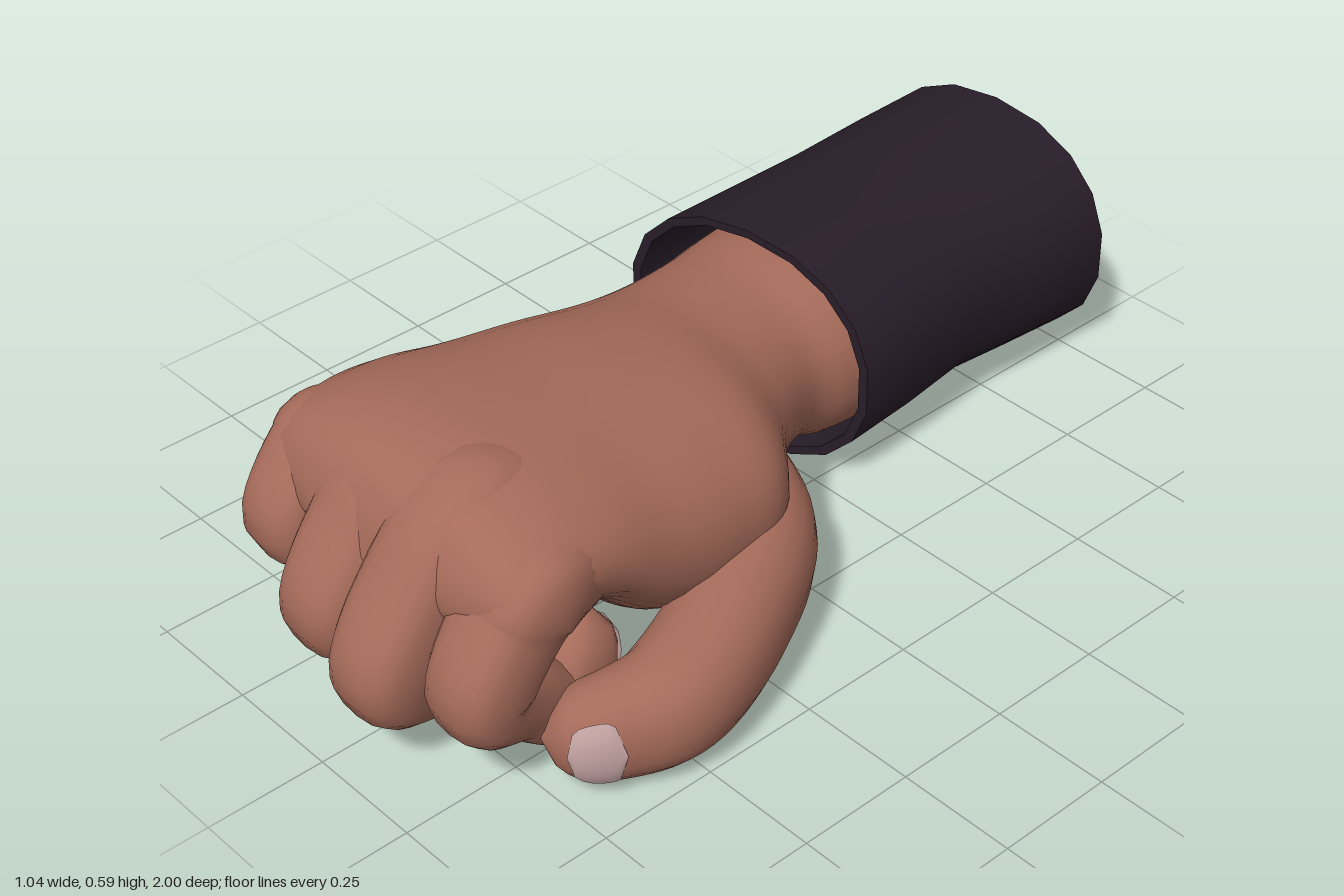
import * as THREE from 'three';

const skin = new THREE.MeshStandardMaterial({ color: 0xa66b5a });
skin.name = 'skin';
const nailColor = new THREE.MeshStandardMaterial({ color: 0xc5a5a4, side: THREE.DoubleSide });
nailColor.name = 'nail';
const cloth = new THREE.MeshStandardMaterial({ color: 0x281d29, side: THREE.DoubleSide });
cloth.name = 'dark cloth';

const V = (p) => new THREE.Vector3(...p);
// Superellipse coordinate: power 2 is round, higher is squarer
const round = (c, power) => Math.sign(c) * Math.abs(c) ** (2 / power);

// Surface from rows x cols points; closed joins the last column to the first
function grid(rows, cols, closed, point) {
  const pos = [], index = [];
  for (let i = 0; i < rows; i++)
    for (let j = 0; j < cols; j++) pos.push(...point(i, j).toArray());
  const span = closed ? cols : cols - 1;
  for (let i = 0; i < rows - 1; i++)
    for (let j = 0; j < span; j++) {
      const a = i * cols + j, b = i * cols + (j + 1) % cols;
      index.push(a, b, a + cols, b, b + cols, a + cols);
    }
  const g = new THREE.BufferGeometry();
  g.setAttribute('position', new THREE.Float32BufferAttribute(pos, 3));
  g.setIndex(index);
  g.computeVertexNormals();
  return g;
}

// Rounded-square limb along stations [x, y, z, sideRadius, outerRadius], with a domed end.
// Sections follow the path, or stay square to a fixed axis if one is given.
function limb(stations, side, power, capStart, axis) {
  const path = new THREE.CatmullRomCurve3(stations.map((s) => V(s.slice(0, 3))), false, 'catmullrom');
  const size = new THREE.CatmullRomCurve3(stations.map((s) => V([s[3], s[4], 0])), false, 'catmullrom');
  return (t, angle, lift = 0) => {
    const T = axis ?? path.getTangent(t), r = size.getPoint(t);
    const out = T.clone().cross(side).normalize(), across = out.clone().cross(T);
    const u = Math.max(0, (t - capStart) / (1 - capStart));
    const k = Math.sqrt(Math.max(0, 1 - u * u));
    return path.getPoint(t)
      .addScaledVector(across, (r.x * k + lift) * round(Math.cos(angle), power))
      .addScaledVector(out, (r.y * k + lift) * round(Math.sin(angle), power));
  };
}

function mesh(name, geometry, material) {
  const m = new THREE.Mesh(geometry, material);
  m.name = name;
  return m;
}

const body = (name, surf, rows, cols) => mesh(name,
  grid(rows + 1, cols, true, (i, j) => surf(i / rows, (j / cols) * Math.PI * 2)), skin);

// Oval nail following the outer face of a limb
const nail = (name, surf, t0, t1, width) => mesh(name, grid(9, 9, false, (i, j) => {
  const v = i / 4 - 1, w = width * Math.sqrt(Math.max(0, 1 - v ** 4));
  return surf(t0 + (t1 - t0) * i / 8, Math.PI / 2 + w * (j / 4 - 1), 0.005);
}), nailColor);

export function createModel() {
  const model = new THREE.Group();
  model.name = 'fistWithSleeve';
  const X = new THREE.Vector3(1, 0, 0), Z = new THREE.Vector3(0, 0, 1);

  // Wrist and back of the hand: [z, xMin, xMax, yMin, yMax]
  const palm = [
    [-0.42, -0.45, 0.07, 0.05, 0.475], [-0.28, -0.435, 0.07, 0.06, 0.465],
    [-0.17, -0.41, 0.07, 0.095, 0.46], [-0.02, -0.39, 0.155, 0.125, 0.475],
    [0.12, -0.395, 0.3, 0.085, 0.515], [0.27, -0.415, 0.335, 0.07, 0.545],
    [0.42, -0.42, 0.345, 0.12, 0.565], [0.56, -0.41, 0.355, 0.25, 0.583],
    [0.69, -0.39, 0.36, 0.32, 0.588], [0.79, -0.365, 0.35, 0.34, 0.56],
    [0.87, -0.3, 0.29, 0.34, 0.47],
  ].map(([z, x0, x1, y0, y1]) =>
    [(x0 + x1) / 2, (y0 + y1) / 2, z, (x1 - x0) / 2, (y1 - y0) / 2]);
  model.add(body('palmAndWrist', limb(palm, X, 2.15, 0.93, Z), 60, 40));

  // Curled fingers: knuckle x, tip x, knuckle top, reach offset, tip lift, girth
  const fingers = [
    ['index', 0.278, 0.235, 0.535, -0.075, 0.025, 0.098],
    ['middle', 0.105, 0.05, 0.6, 0, 0, 0.1],
    ['ring', -0.085, -0.125, 0.583, -0.03, 0.03, 0.1],
    ['little', -0.287, -0.27, 0.54, -0.085, 0.11, 0.094],
  ];
  for (const [name, x0, x1, top, dz, dy, r] of fingers) {
    const mid = x0 * 0.85 + x1 * 0.15;
    const surf = limb([
      [x0 * 0.85, top - 0.15, 0.5, r * 0.6, r * 0.6],
      [x0, top - 0.105, 0.7, r, r],
      [mid, 0.36 + dy * 0.6, 0.84 + dz, r, r * 0.95],
      [mid, 0.23 + dy * 0.8, 0.91 + dz, r * 0.92, r * 0.92],
      [x1 * 0.7 + x0 * 0.3, 0.155 + dy, 0.8 + dz * 0.8, r * 0.88, r * 0.85],
      [x1, 0.09 + dy, 0.67 + dz * 0.4, r * 0.84, r * 0.84],
      [x1, 0.25 + dy * 0.7, 0.555, r * 0.76, r * 0.72],
    ], X, 2.6, 0.92);
    model.add(body(name + 'Finger', surf, 42, 20));
    model.add(nail(name + 'Nail', surf, 0.885, 0.98, 0.8));
  }

  // Thumb swelling out of the palm and bending in beside the index finger
  const thumb = limb([
    [0.0, 0.25, 0.0, 0.08, 0.08], [0.2, 0.185, 0.13, 0.135, 0.135],
    [0.34, 0.155, 0.31, 0.13, 0.118], [0.41, 0.135, 0.5, 0.117, 0.11],
    [0.385, 0.12, 0.62, 0.108, 0.088], [0.32, 0.115, 0.745, 0.085, 0.07],
  ], new THREE.Vector3(0, -1, 0), 2.2, 0.87);
  model.add(body('thumb', thumb, 36, 20));
  model.add(nail('thumbNail', thumb, 0.815, 0.95, 0.7));

  // Sleeve: closed back, slanted open cuff with a turned-in lining [length, scale, sideways shift]
  const profile = [[0, 0, 0], [0, 1, 0], [0, 1, 0], [0.25, 0.98, -0.008], [0.5, 0.95, -0.015],
    [0.75, 0.98, -0.005], [1, 1, 0], [1, 1, 0], [1, 0.93, 0], [1, 0.93, 0], [0.75, 0.88, 0]];
  const sides = 18;
  model.add(mesh('sleeve', grid(profile.length, sides, true, (i, j) => {
    const [u, s, shift] = profile[i], a = ((j + 0.5) / sides) * Math.PI * 2;
    const x = -0.21 + 0.018 * u + shift + 0.31 * s * round(Math.cos(a), 2.2);
    const y = 0.267 + (0.264 - 0.008 * u) * s * round(Math.sin(a), 2.2);
    const back = -0.985 - (x + 0.21) * 0.05, front = -0.24 - (x + 0.19) * 0.13;
    return new THREE.Vector3(x, y, back + (front - back) * u);
  }), cloth));

  return model;
}
